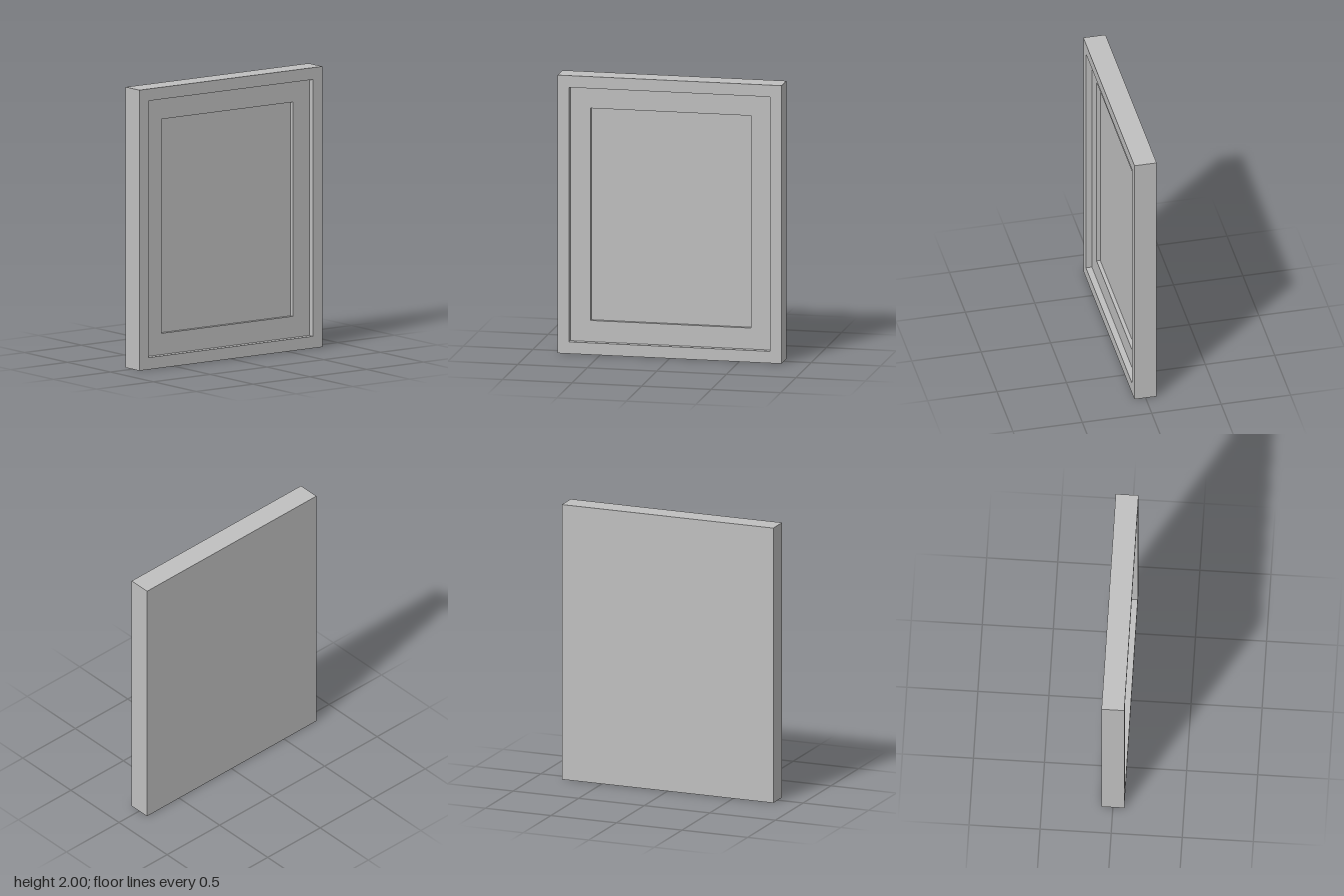
import * as THREE from 'three';

const grey = new THREE.MeshStandardMaterial({ color: 0xc0c0c0 });
grey.name = 'grey';

// Rectangle path centred on the origin
function rect(path, w, h) {
  path.moveTo(-w / 2, -h / 2);
  path.lineTo(w / 2, -h / 2);
  path.lineTo(w / 2, h / 2);
  path.lineTo(-w / 2, h / 2);
  path.closePath();
  return path;
}

// Rectangular ring spanning z0 to z1
function ring(name, w, h, holeW, holeH, z0, z1) {
  const shape = rect(new THREE.Shape(), w, h);
  shape.holes.push(rect(new THREE.Path(), holeW, holeH));
  const geometry = new THREE.ExtrudeGeometry(shape, { depth: z1 - z0, bevelEnabled: false });
  const mesh = new THREE.Mesh(geometry, grey);
  mesh.name = name;
  mesh.position.set(0, 1, z0);
  return mesh;
}

export function createModel() {
  const group = new THREE.Group();
  group.name = 'pictureFrame';

  const W = 1.612, H = 2, BACK = -0.08, FRONT = 0.08;
  const matZ = 0.037, pictureZ = 0.01;

  // Solid backing, whose front face is the picture surface
  const backing = new THREE.Mesh(new THREE.BoxGeometry(W, H, pictureZ - BACK), grey);
  backing.name = 'backing';
  backing.position.set(0, 1, (BACK + pictureZ) / 2);
  group.add(backing);

  // Outer moulding and the recessed mat around the picture
  group.add(ring('frame', W, H, 1.446, 1.83, pictureZ, FRONT));
  group.add(ring('mat', 1.446, 1.83, 1.155, 1.527, pictureZ, matZ));

  return group;
}
